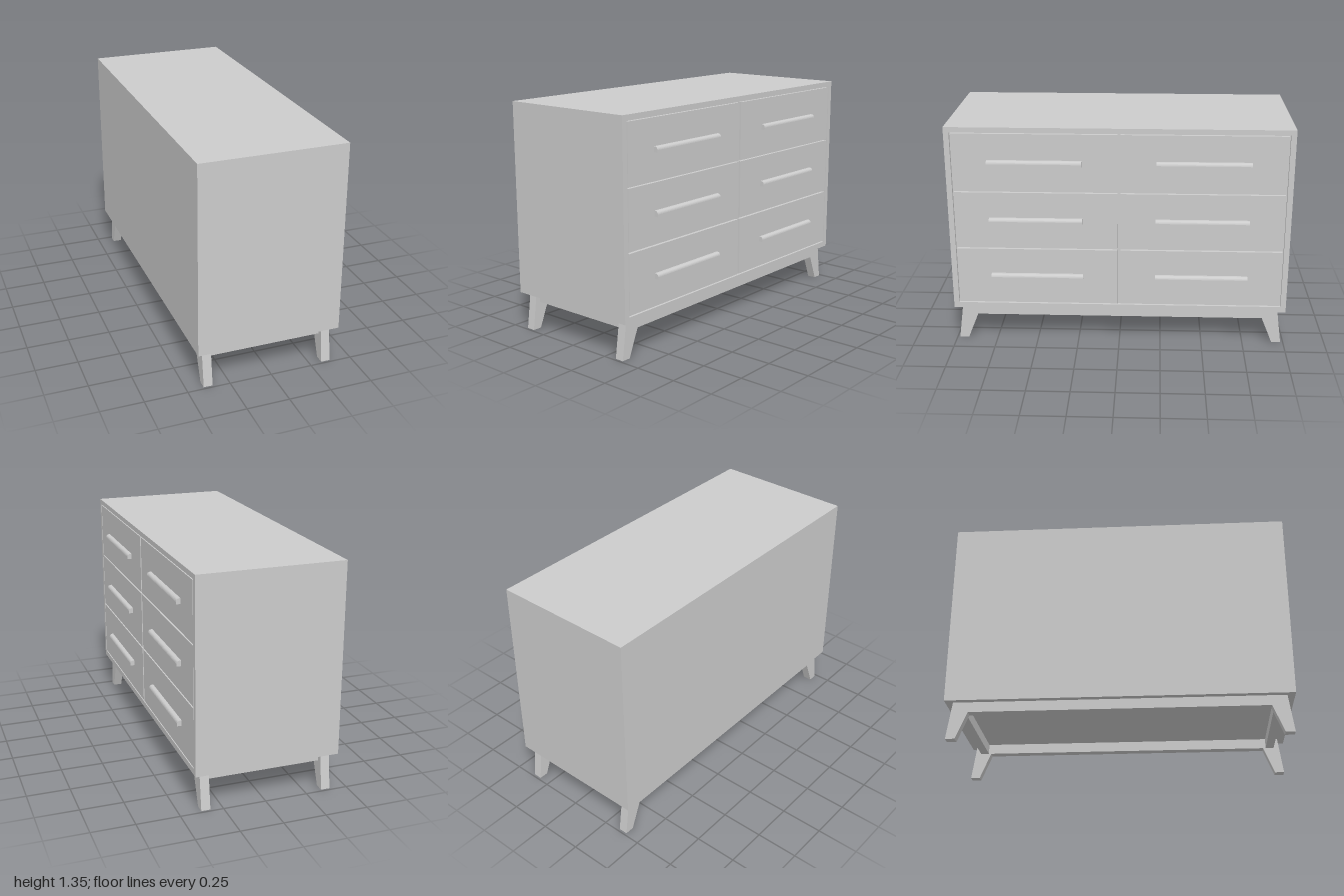
import * as THREE from 'three';

const grey = new THREE.MeshStandardMaterial({ color: 0xcccccc, flatShading: true });
const FRONT = 0.412, BACK = -0.438, BOTTOM = 0.22, TOP = 1.35;

function add(parent, name, geometry) {
  const mesh = new THREE.Mesh(geometry, grey);
  mesh.name = name;
  parent.add(mesh);
  return mesh;
}

// Box given by its minimum and maximum corners
function box(parent, name, [x0, y0, z0], [x1, y1, z1]) {
  const mesh = add(parent, name, new THREE.BoxGeometry(x1 - x0, y1 - y0, z1 - z0));
  mesh.position.set((x0 + x1) / 2, (y0 + y1) / 2, (z0 + z1) / 2);
  return mesh;
}

const outline = (pts) => pts.map(([a, b]) => new THREE.Vector2(a, b));
const rect = (z, y0, y1) => outline([[-z, y0], [z, y0], [z, y1], [-z, y1]]);

// Extrudes a (z, y) shape along x, ending at xFront
function slab(parent, name, shape, depth, xFront) {
  const geometry = new THREE.ExtrudeGeometry(shape, { depth, bevelEnabled: false });
  geometry.rotateY(-Math.PI / 2);
  geometry.translate(xFront, 0, 0);
  return add(parent, name, geometry);
}

// Finger pull with a rounded top and a hollow underside, closed at both ends
function makeHandle(length) {
  const handle = new THREE.Group();
  handle.name = 'handle';
  const w = 0.026, h = 0.033, t = 0.007, cap = 0.008;
  const shell = new THREE.Shape();
  shell.moveTo(0, h - t);
  shell.lineTo(w - t - 0.006, h - t);
  shell.quadraticCurveTo(w - t, h - t, w - t, h - t - 0.008);
  shell.lineTo(w - t, 0);
  shell.lineTo(w, 0);
  shell.lineTo(w, h - 0.018);
  shell.quadraticCurveTo(w - 0.002, h - 0.002, w - 0.018, h);
  shell.lineTo(0, h);
  const end = new THREE.Shape();
  end.moveTo(0, 0);
  end.lineTo(w, 0);
  end.lineTo(w, h - 0.018);
  end.quadraticCurveTo(w - 0.002, h - 0.002, w - 0.018, h);
  end.lineTo(0, h);
  const extrude = (shape, depth) =>
    new THREE.ExtrudeGeometry(shape, { depth, bevelEnabled: false, curveSegments: 6 });
  add(handle, 'handleGrip', extrude(shell, length - 2 * cap)).position.z = cap - length / 2;
  for (const z of [-length / 2, length / 2 - cap]) {
    add(handle, 'handleEnd', extrude(end, cap)).position.z = z;
  }
  return handle;
}

export function createModel() {
  const model = new THREE.Group();
  model.name = 'dresser';

  // Carcass: solid core with a front frame around the drawer opening
  const groove = 0.02;
  box(model, 'cabinet', [BACK, BOTTOM, -1], [FRONT - groove, TOP, 1]);
  const frame = new THREE.Shape(rect(1, BOTTOM, TOP));
  frame.holes.push(new THREE.Path(rect(0.968, 0.255, 1.32)));
  slab(model, 'frontFrame', frame, groove, FRONT);

  // Drawers: two columns of three, each with a handle
  const rows = [[0.262, 0.607, 0.42], [0.617, 0.96, 0.773], [0.97, 1.313, 1.125]];
  for (const side of [1, -1]) {
    for (const [y0, y1, handleY] of rows) {
      const drawer = new THREE.Group();
      drawer.name = side > 0 ? 'leftDrawer' : 'rightDrawer';
      const z = [0.008 * side, 0.961 * side].sort((a, b) => a - b);
      box(drawer, 'drawerFront', [FRONT - groove, y0, z[0]], [FRONT - 0.001, y1, z[1]]);
      const handle = makeHandle(0.546);
      handle.position.set(FRONT - 0.001, handleY, 0.487 * side);
      drawer.add(handle);
      model.add(drawer);
    }
  }

  // Base: front and back rails, each in one piece with its splayed legs
  const half = [[0.865, 0.16], [0.93, 0], [0.985, 0], [0.955, BOTTOM]];
  const mirrored = half.map(([z, y]) => [-z, y]).reverse();
  const legShape = new THREE.Shape(outline([...half, ...mirrored]));
  slab(model, 'frontLegsAndRail', legShape, 0.053, 0.375);
  slab(model, 'backLegsAndRail', legShape, 0.053, -0.349);

  // Side rails between the legs
  for (const z of [0.905, -0.905]) {
    box(model, 'sideRail', [-0.35, 0.16, z - 0.025], [0.323, BOTTOM, z + 0.025]);
  }
  return model;
}
